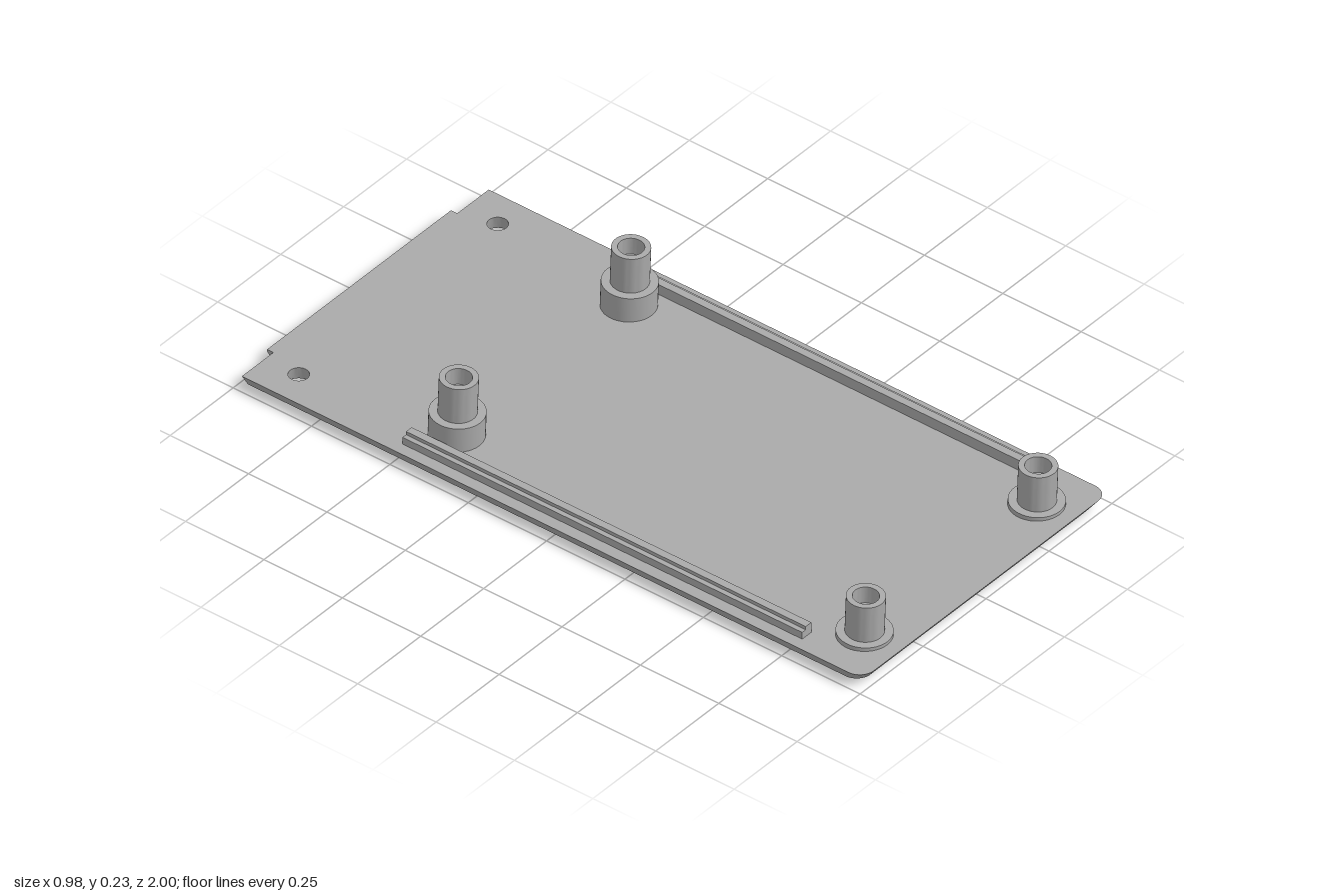
import * as THREE from 'three';
import { toCreasedNormals } from 'three/addons/utils/BufferGeometryUtils.js';

const T = 0.04;                 // plate thickness
const POST_X = 0.342, FRONT_Z = 0.887, REAR_Z = -0.414;
const BORE = 0.027, SINK = 0.036;

export function createModel() {
  const model = new THREE.Group();
  model.name = 'baseCover';
  const grey = new THREE.MeshStandardMaterial({ color: 0xaaaaaa });
  grey.name = 'grey';

  const add = (name, geometry, crease = 0.6) => {
    const mesh = new THREE.Mesh(toCreasedNormals(geometry, crease), grey);
    mesh.name = name;
    model.add(mesh);
    return mesh;
  };

  // Extrude a (z, y) or (x, y) polygon
  const polygon = (points) => new THREE.Shape(points.map(([a, b]) => new THREE.Vector2(a, b)));

  // Plate: rounded front corners, square back corners, six through holes
  const outline = new THREE.Shape();
  const w = 0.49, r = 0.045, back = -0.98;
  outline.moveTo(-w, back);
  outline.lineTo(w, back);
  outline.lineTo(w, 1 - r);
  outline.absarc(w - r, 1 - r, r, 0, Math.PI / 2);
  outline.lineTo(-w + r, 1);
  outline.absarc(-w + r, 1 - r, r, Math.PI / 2, Math.PI);
  outline.closePath();

  const holes = [];
  for (const s of [-1, 1]) {
    holes.push([s * 0.395, -0.875], [s * POST_X, REAR_Z], [s * POST_X, FRONT_Z]);
  }
  for (const [x, z] of holes) {
    outline.holes.push(new THREE.Path().absarc(x, z, BORE, 0, Math.PI * 2, true));
  }
  const plate = new THREE.ExtrudeGeometry(outline, { depth: T, bevelEnabled: false, curveSegments: 16 });
  plate.rotateX(Math.PI / 2).translate(0, T, 0);

  // Draw in the lower outline and widen the lower hole rims
  const pos = plate.attributes.position;
  for (let i = 0; i < pos.count; i++) {
    if (pos.getY(i) > T / 2) continue;
    const x = pos.getX(i), z = pos.getZ(i);
    const hole = holes.find(([hx, hz]) => Math.hypot(x - hx, z - hz) < BORE + 0.003);
    if (hole) {
      const k = SINK / BORE;
      pos.setX(i, hole[0] + (x - hole[0]) * k);
      pos.setZ(i, hole[1] + (z - hole[1]) * k);
    } else {
      pos.setX(i, x * 0.95);
      if (z > 0) pos.setZ(i, z - 0.03);
    }
  }
  add('plate', plate);

  // Wedge-shaped tab on the back edge
  const tab = new THREE.ExtrudeGeometry(
    polygon([[0.97, 0.012], [0.982, 0.012], [1, 0.034], [1, T], [0.97, T]]),
    { depth: 0.73, bevelEnabled: false });
  tab.translate(0, 0, -0.365).rotateY(Math.PI / 2);
  add('backTab', tab, 0.3);

  // Flanged hollow posts, leaning slightly forward
  const post = (name, x, z, flangeTop, top) => {
    const profile = [
      [BORE, -0.01], [0.0725, -0.01], [0.0725, flangeTop], [0.05, flangeTop],
      [0.05, top], [0.034, top], [0.034, top - 0.05], [BORE, top - 0.05], [BORE, -0.01],
    ].map(([a, b]) => new THREE.Vector2(a, b));
    const mesh = add(name, new THREE.LatheGeometry(profile, 40));
    mesh.position.set(x, T, z);
    mesh.rotation.x = 0.04;
  };

  for (const s of [-1, 1]) {
    const side = s > 0 ? 'left' : 'right';
    post(side + 'FrontPost', s * POST_X, FRONT_Z, 0.013, 0.122);
    post(side + 'RearPost', s * POST_X, REAR_Z, 0.076, 0.184);

    // Stepped rail, higher on its inner half
    const steps = [[0.42, 0.035], [0.456, 0.035], [0.456, 0.061], [0.442, 0.061], [0.442, 0.071], [0.42, 0.071]];
    const rail = new THREE.ExtrudeGeometry(
      polygon(steps.map(([x, y]) => [s * x, y])), { depth: 1.275, bevelEnabled: false });
    rail.translate(0, 0, -0.495);
    add(side + 'Rail', rail);
  }
  return model;
}
